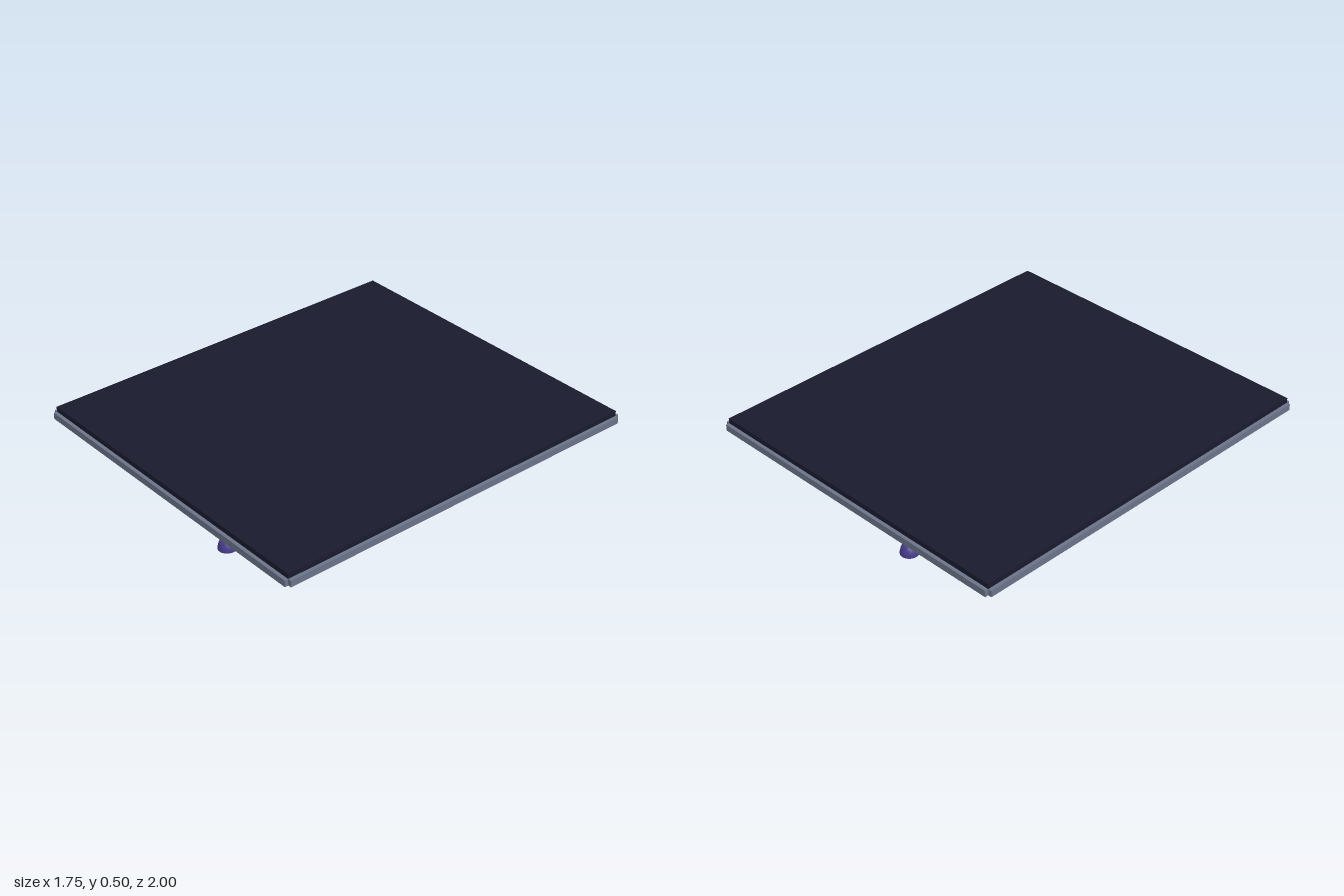
import * as THREE from 'three';

const flat = (name, color) => {
  const m = new THREE.MeshStandardMaterial({ color });
  m.name = name;
  return m;
};

export function createModel() {
  const model = new THREE.Group();
  model.name = 'ceilingWithPendants';

  const night = flat('nightBlue', 0x1a1a2e);
  const steel = flat('greyBeam', 0x6b7389);
  const dark = flat('darkMetal', 0x2b2b34);
  const purple = flat('purpleShade', 0x483d8b);
  purple.side = THREE.DoubleSide;
  const glow = flat('paleBulb', 0xf0e6ff);

  const add = (parent, name, geometry, material, x, y, z) => {
    const mesh = new THREE.Mesh(geometry, material);
    mesh.name = name;
    mesh.position.set(x, y, z);
    parent.add(mesh);
    return mesh;
  };

  const W = 1.715, D = 1.964, beam = 0.036;
  const under = 0.472, top = 0.498, beamBottom = 0.439;

  // Ceiling slab
  add(model, 'ceilingPanel', new THREE.BoxGeometry(W, top - under, D), night, 0, (top + under) / 2, 0);

  // Coffer grid: four beams each way, centred on the panel edges and thirds
  const beamH = under - beamBottom, beamY = (under + beamBottom) / 2;
  const across = new THREE.BoxGeometry(W, beamH, beam);
  const along = new THREE.BoxGeometry(beam, beamH, D);
  for (let i = 0; i < 4; i++) {
    const t = i / 3 - 0.5;
    add(model, 'crossBeam', across, steel, 0, beamY, t * D);
    add(model, 'longBeam', along, steel, t * W, beamY, 0);
  }

  // Tiny stars scattered on the underside
  let seed = 7;
  const random = () => (seed = (seed * 16807) % 2147483647) / 2147483647;
  const star = new THREE.SphereGeometry(0.0025, 6, 4);
  const stars = new THREE.Group();
  stars.name = 'stars';
  model.add(stars);
  for (let i = 0; i < 90; i++) {
    add(stars, 'star', star, glow, (random() - 0.5) * W * 0.95, under - 0.001, (random() - 0.5) * D * 0.95);
  }

  // Pendant lamps, one per middle coffer
  const profile = [];
  for (let i = 0; i <= 10; i++) {
    const a = (i / 10) * Math.PI / 2;
    profile.push(new THREE.Vector2(0.046 * Math.cos(a), 0.065 * Math.sin(a)));
  }
  profile[10].x = 0;
  const shade = new THREE.LatheGeometry(profile, 24);
  const canopy = new THREE.CylinderGeometry(0.021, 0.021, 0.014, 20);
  const cord = new THREE.CylinderGeometry(0.0025, 0.0025, under - 0.068, 8);
  const bulb = new THREE.SphereGeometry(0.014, 16, 12);
  for (const i of [-1, 0, 1]) {
    const lamp = new THREE.Group();
    lamp.name = 'pendantLamp';
    lamp.position.z = i * D / 3;
    model.add(lamp);
    add(lamp, 'canopy', canopy, dark, 0, under - 0.007, 0);
    add(lamp, 'cord', cord, dark, 0, (under + 0.068) / 2, 0);
    add(lamp, 'shade', shade, purple, 0, 0.006, 0);
    add(lamp, 'bulb', bulb, glow, 0, 0.014, 0);
  }

  return model;
}
